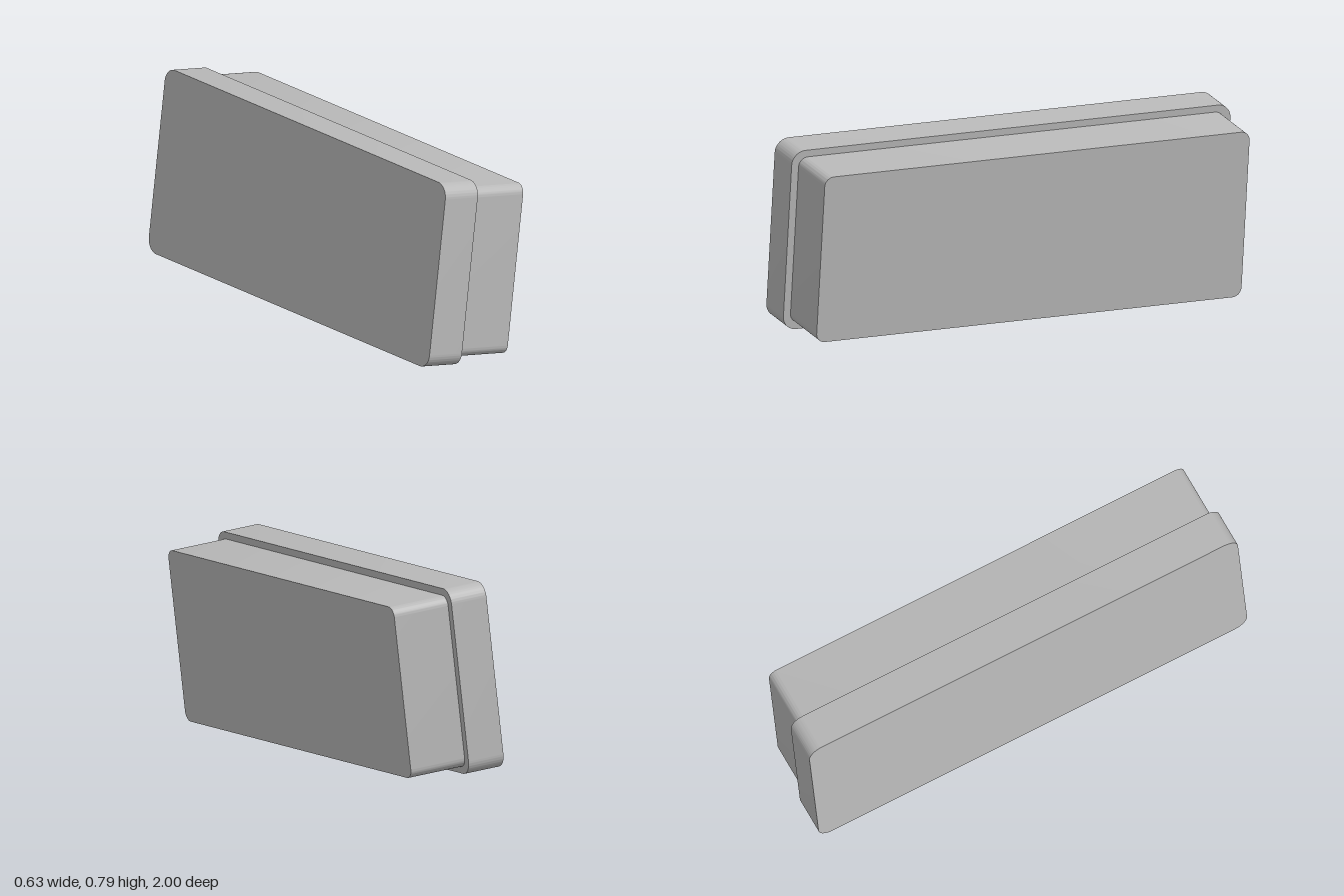
import * as THREE from 'three';
import { toCreasedNormals } from 'three/addons/utils/BufferGeometryUtils.js';

const LID = { thick: 0.164, height: 0.778, length: 1.988, radius: 0.06 };
const BASE = { thick: 0.253, height: 0.719, length: 1.925, radius: 0.04 };

// Rounded rectangle (length along z, height along y) extruded along +x from x0
function roundedSlab({ thick, height, length, radius: r }, x0) {
  const w = length / 2, h = height / 2;
  const s = new THREE.Shape();
  s.moveTo(-w + r, -h);
  s.absarc(w - r, -h + r, r, -Math.PI / 2, 0, false);
  s.absarc(w - r, h - r, r, 0, Math.PI / 2, false);
  s.absarc(-w + r, h - r, r, Math.PI / 2, Math.PI, false);
  s.absarc(-w + r, -h + r, r, Math.PI, Math.PI * 1.5, false);
  const geo = new THREE.ExtrudeGeometry(s, { depth: thick, bevelEnabled: false, curveSegments: 16 });
  geo.rotateY(Math.PI / 2);
  geo.translate(x0, 0, 0);
  return toCreasedNormals(geo, 0.6);
}

export function createModel() {
  const grey = new THREE.MeshStandardMaterial({ color: 0xb8b8b8 });
  grey.name = 'plain grey';

  const box = new THREE.Group();
  box.name = 'box';

  // Wider, shallower lid
  const lid = new THREE.Mesh(roundedSlab(LID, -LID.thick), grey);
  lid.name = 'lid';
  // Deeper base, meeting the lid at x = 0
  const base = new THREE.Mesh(roundedSlab(BASE, 0), grey);
  base.name = 'base';
  box.add(lid, base);

  // The box lies on its side, slightly leaning and turned
  const deg = THREE.MathUtils.degToRad;
  box.rotation.set(0, deg(-3.83), deg(-6.9), 'YXZ');

  const model = new THREE.Group();
  model.name = 'lidded box';
  model.add(box);

  // Centre and stand on the ground
  model.updateMatrixWorld(true);
  const bounds = new THREE.Box3().setFromObject(model, true);
  const c = bounds.getCenter(new THREE.Vector3());
  box.position.set(-c.x, -bounds.min.y, -c.z);
  return model;
}
